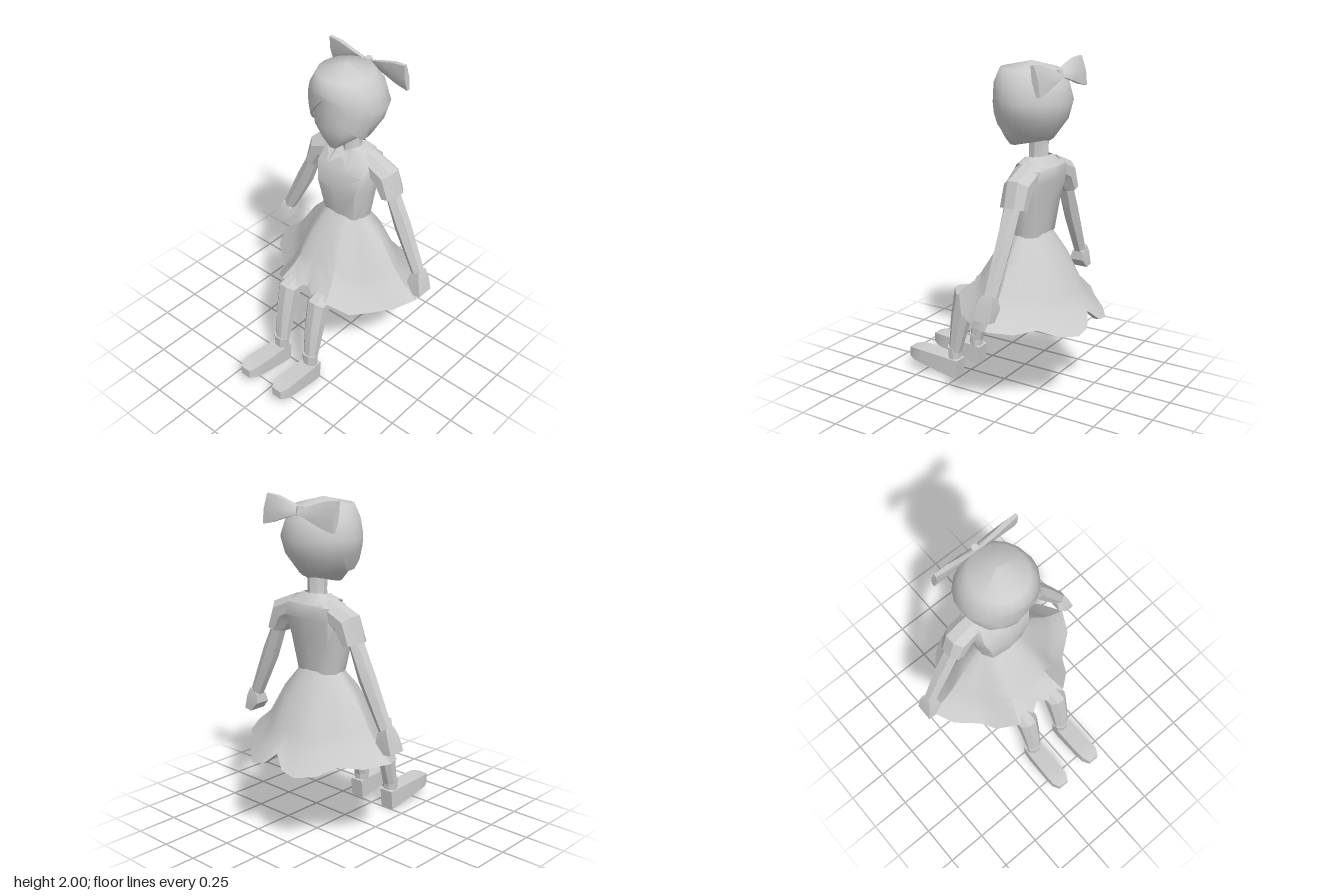
import * as THREE from 'three';
import { toCreasedNormals } from 'three/addons/utils/BufferGeometryUtils.js';

const { lerp } = THREE.MathUtils;

// Skin closed rings of [x, y, z] points; flips itself so faces point outward
function loft(name, rings, { caps = true, crease = 0.6, open = false } = {}) {
  const n = rings[0].length, index = [], pts = rings.flat();
  for (let j = 0; j < rings.length - 1; j++)
    for (let i = 0; i < n; i++) {
      const a = j * n + i, b = j * n + (i + 1) % n;
      index.push(a, b, b + n, a, b + n, a + n);
    }
  if (caps) {
    const e = (rings.length - 1) * n;
    for (let i = 1; i < n - 1; i++) index.push(0, i + 1, i, e, e + i, e + i + 1);
  }
  // signed volume about the part's own middle
  const mid = [0, 1, 2].map(k => pts.reduce((s, p) => s + p[k], 0) / pts.length);
  const v = pts.map(p => new THREE.Vector3(p[0] - mid[0], p[1] - mid[1], p[2] - mid[2]));
  let vol = 0;
  for (let i = 0; i < index.length; i += 3)
    vol += v[index[i]].dot(v[index[i + 1]].clone().cross(v[index[i + 2]]));
  if (vol < 0) index.reverse();
  const g = new THREE.BufferGeometry();
  g.setAttribute('position', new THREE.Float32BufferAttribute(pts.flat(), 3));
  g.setIndex(index);
  const mesh = new THREE.Mesh(toCreasedNormals(g, crease), new THREE.MeshStandardMaterial({
    color: 0xcccccc, side: open ? THREE.DoubleSide : THREE.FrontSide }));
  mesh.name = name;
  return mesh;
}

// n-sided ring spanning points a and b, with half width vector w
function span(a, b, w, n = 8) {
  const k = 1 / Math.cos(Math.PI / n);
  return Array.from({ length: n }, (_, i) => {
    const t = (i + 0.5) * 2 * Math.PI / n, c = Math.cos(t) * k / 2, s = Math.sin(t) * k;
    return [0, 1, 2].map(d => (a[d] + b[d]) / 2 + (a[d] - b[d]) * c + w[d] * s);
  });
}

// Arm-like ring: outer and inner points in the front plane, depth along z
const armRing = (s, [ax, ay, bx, by, z, hz], n) =>
  span([s * ax, ay, z], [s * bx, by, z], [0, 0, hz], n);
// Leg-like ring: two points in the side plane, width along x
const legRing = (s, [ay, az, by, bz, x, hx], n) =>
  span([s * x, ay, az], [s * x, by, bz], [hx, 0, 0], n);

// Horizontal oval ring from [y, half width, front z, back z]; power below 1 is boxier
const soft = (v, power) => Math.sign(v) * Math.abs(v) ** power;
const oval = ([y, rx, zf, zb], n, power = 1) => Array.from({ length: n }, (_, i) => {
  const a = i / n * 2 * Math.PI;
  return [rx * soft(Math.sin(a), power), y,
    (zf + zb) / 2 + (zf - zb) / 2 * soft(Math.cos(a), power)];
});

// Linear lookup in a table whose first column runs steadily up or down
function lookup(table, key) {
  const dir = Math.sign(table[1][0] - table[0][0]);
  let k = 0;
  while (k < table.length - 2 && (key - table[k + 1][0]) * dir > 0) k++;
  const [p, q] = [table[k], table[k + 1]], t = (key - p[0]) / (q[0] - p[0]);
  return p.map((c, d) => lerp(c, q[d], t));
}

function makeHair() {
  const profile = [
    [1.99, 0.001, -0.179, -0.181], [1.95, 0.16, 0.005, -0.335], [1.87, 0.207, 0.036, -0.395],
    [1.765, 0.245, 0.03, -0.415], [1.68, 0.215, 0.03, -0.395], [1.595, 0.175, 0.03, -0.355],
    [1.54, 0.11, 0.0, -0.29]];
  // lower edge by angle: a pointed arch over the face, level round the back
  const edge = [[0, 1.84], [0.5, 1.717], [0.95, 1.64], [1.2, 1.595], [Math.PI, 1.55]];
  const n = 20;
  const row = (y0, f, lip) => Array.from({ length: n }, (_, i) => {
    const a = (i < n / 2 ? i : i - n) / n * 2 * Math.PI;
    const [y, rx, zf, zb] = lookup(profile, lerp(y0, lookup(edge, Math.abs(a))[1], f));
    const x = rx * Math.sin(a), z = (zf + zb) / 2 + (zf - zb) / 2 * Math.cos(a);
    const shrink = lip ? (Math.abs(a) < 1.1 ? 0.92 : 0.6) : 1;
    return [x * shrink, y, lerp(-0.19, z, shrink)];
  });
  return loft('hair', [row(1.99, 0), row(1.95, 0), row(1.87, 0), row(1.87, 0.33),
    row(1.87, 0.62), row(1.87, 1), row(1.87, 1, true)], { caps: false, crease: 1.1, open: true });
}

// Full ring from a half outline running front centre to back centre
const mirrorRing = half =>
  [...half, ...half.slice(1, -1).reverse().map(([x, y, z]) => [-x, y, z])];

function makeSkirt() {
  const hem = [
    [0, 0.61, 0.165], [0.06, 0.6, 0.205], [0.18, 0.595, 0.21], [0.29, 0.51, 0.12],
    [0.345, 0.49, 0.02], [0.475, 0.535, -0.08], [0.54, 0.56, -0.21], [0.46, 0.545, -0.35],
    [0.345, 0.55, -0.43], [0.27, 0.505, -0.53], [0.17, 0.49, -0.6], [0.075, 0.51, -0.605],
    [0, 0.58, -0.565]];
  const last = hem.length - 1;
  const rows = [[0, 0], [0.3, 0.32], [0.65, 0.58], [0.8, 0.72], [1, 1]].map(([fy, fr]) =>
    mirrorRing(hem.map(([x, y, z], i) => {
      const a = i / last * Math.PI;
      const waist = [0.145 * Math.sin(a), 1.01, -0.195 + 0.095 * Math.cos(a)];
      // the centre notches are folded in at the hem only
      const notch = fr < 1 && (i === 0 || i === last);
      const from = notch ? hem[i === 0 ? 1 : last - 1] : [x, y, z];
      return [lerp(waist[0], x, fr), lerp(waist[1], from[1], fy), lerp(waist[2], from[2], fr)];
    })));
  // narrow hem turned under
  rows.push(mirrorRing(hem.map(([x, y, z]) => [x * 0.92, y, lerp(-0.2, z, 0.92)])));
  return loft('skirt', rows, { caps: false, crease: 0.8, open: true });
}

function makeTorso() {
  // [y, front half width, side half width, front z, back z]
  const rows = [
    [1.0, 0.11, 0.145, -0.1, -0.29], [1.2, 0.14, 0.178, -0.065, -0.315],
    [1.32, 0.165, 0.195, -0.095, -0.335], [1.4, 0.15, 0.185, -0.145, -0.338],
    [1.445, 0.06, 0.09, -0.18, -0.295]];
  return loft('bodice', rows.map(([y, fx, sx, zf, zb]) => mirrorRing([
    [0, y, zf], [fx, y, lerp(zf, zb, 0.08)], [sx, y, lerp(zf, zb, 0.4)],
    [sx, y, lerp(zf, zb, 0.7)], [fx, y, lerp(zf, zb, 0.94)], [0, y, zb]])), { crease: 0.9 });
}

function makeCollar() {
  const inner = [[0, 1.42, -0.158], [0.045, 1.45, -0.17], [0.07, 1.455, -0.2],
    [0.075, 1.46, -0.24], [0.055, 1.465, -0.285], [0, 1.465, -0.3]];
  const outer = [[0, 1.4, -0.135], [0.075, 1.345, -0.095], [0.13, 1.425, -0.165],
    [0.14, 1.435, -0.25], [0.1, 1.41, -0.335], [0, 1.405, -0.347]];
  return loft('collar', [mirrorRing(inner), mirrorRing(outer)], { caps: false, open: true });
}

export function createModel() {
  const doll = new THREE.Group();
  doll.name = 'seatedDoll';

  // Head and neck
  doll.add(loft('face', [
    [1.503, 0.025, -0.045, -0.09], [1.555, 0.095, -0.02, -0.3], [1.64, 0.168, 0, -0.33],
    [1.74, 0.175, -0.005, -0.34], [1.86, 0.15, 0, -0.33]].map(r => oval(r, 12, 0.75)),
  { crease: 0.9 }));
  doll.add(makeHair());
  doll.add(loft('neck', [[1.4, 0.06, -0.16, -0.3], [1.47, 0.05, -0.17, -0.29],
    [1.58, 0.05, -0.165, -0.295]].map(r => oval(r, 8))));

  // Dress
  doll.add(makeTorso(), makeCollar(), makeSkirt());

  // Hair bow
  const bow = new THREE.Group();
  bow.name = 'hairBow';
  const knot = new THREE.Mesh(new THREE.CylinderGeometry(0.022, 0.022, 0.05, 6),
    new THREE.MeshStandardMaterial({ color: 0xcccccc, flatShading: true }));
  knot.name = 'bowKnot';
  knot.position.set(0, 1.925, -0.36);
  knot.rotation.x = 0.25;
  bow.add(knot);

  for (const s of [1, -1]) {
    const side = s > 0 ? 'left' : 'right';
    // Bow wing, leaning with the back of the head
    bow.add(loft(side + 'BowWing', [
      [0.0, 1.94, 1.91, 0.01], [0.1, 1.968, 1.88, 0.022],
      [0.19, 1.993, 1.85, 0.024], [0.268, 2.0, 1.832, 0.018]].map(([x, top, low, h]) =>
      span([s * x, top, -0.34], [s * x, low, -0.377], [0, 0, h], 6))));

    // Puffed sleeve with a turned-in cuff
    doll.add(loft(side + 'Sleeve', [
      [0.13, 1.44, 0.15, 1.29, -0.245, 0.072], [0.305, 1.37, 0.185, 1.265, -0.245, 0.078],
      [0.345, 1.225, 0.245, 1.195, -0.245, 0.076], [0.325, 1.23, 0.262, 1.21, -0.24, 0.055],
    ].map(r => armRing(s, r, 8)), { crease: 0.5 }));

    // Arm and hand
    doll.add(loft(side + 'Arm', [
      [0.325, 1.25, 0.262, 1.23, -0.24, 0.046], [0.425, 1.055, 0.345, 1.01, -0.24, 0.042],
      [0.548, 0.78, 0.487, 0.745, -0.235, 0.034]].map(r => armRing(s, r, 6))));
    doll.add(loft(side + 'Hand', [
      [0.548, 0.78, 0.487, 0.745, -0.235, 0.034], [0.568, 0.73, 0.483, 0.69, -0.23, 0.048],
      [0.592, 0.64, 0.54, 0.632, -0.222, 0.055]].map(r => armRing(s, r, 4))));

    // Thigh, bent knee and shin
    doll.add(loft(side + 'Leg', [
      [0.77, -0.19, 0.57, -0.23, 0.095, 0.085], [0.645, 0.09, 0.515, 0.03, 0.112, 0.068],
      [0.605, 0.265, 0.505, 0.145, 0.118, 0.062], [0.4, 0.301, 0.38, 0.186, 0.118, 0.055],
      [0.15, 0.322, 0.15, 0.255, 0.12, 0.043]].map(r => legRing(s, r, 8)), { crease: 0.5 }));

    // Sock cuff
    doll.add(loft(side + 'Sock', [
      [0.21, 0.328, 0.2, 0.25, 0.12, 0.05], [0.13, 0.325, 0.13, 0.252, 0.12, 0.046],
    ].map(r => legRing(s, r, 8))));

    // Boxy shoe, heel to toe
    doll.add(loft(side + 'Shoe', [
      [0.125, 0.243, 0.004, 0.255, 0.125, 0.045], [0.135, 0.32, 0.02, 0.32, 0.127, 0.053],
      [0.148, 0.5, 0.057, 0.5, 0.13, 0.058], [0.15, 0.56, 0.07, 0.56, 0.132, 0.056],
      [0.14, 0.605, 0.08, 0.605, 0.132, 0.034]].map(r => legRing(s, r, 4))));
  }
  doll.add(bow);
  return doll;
}
